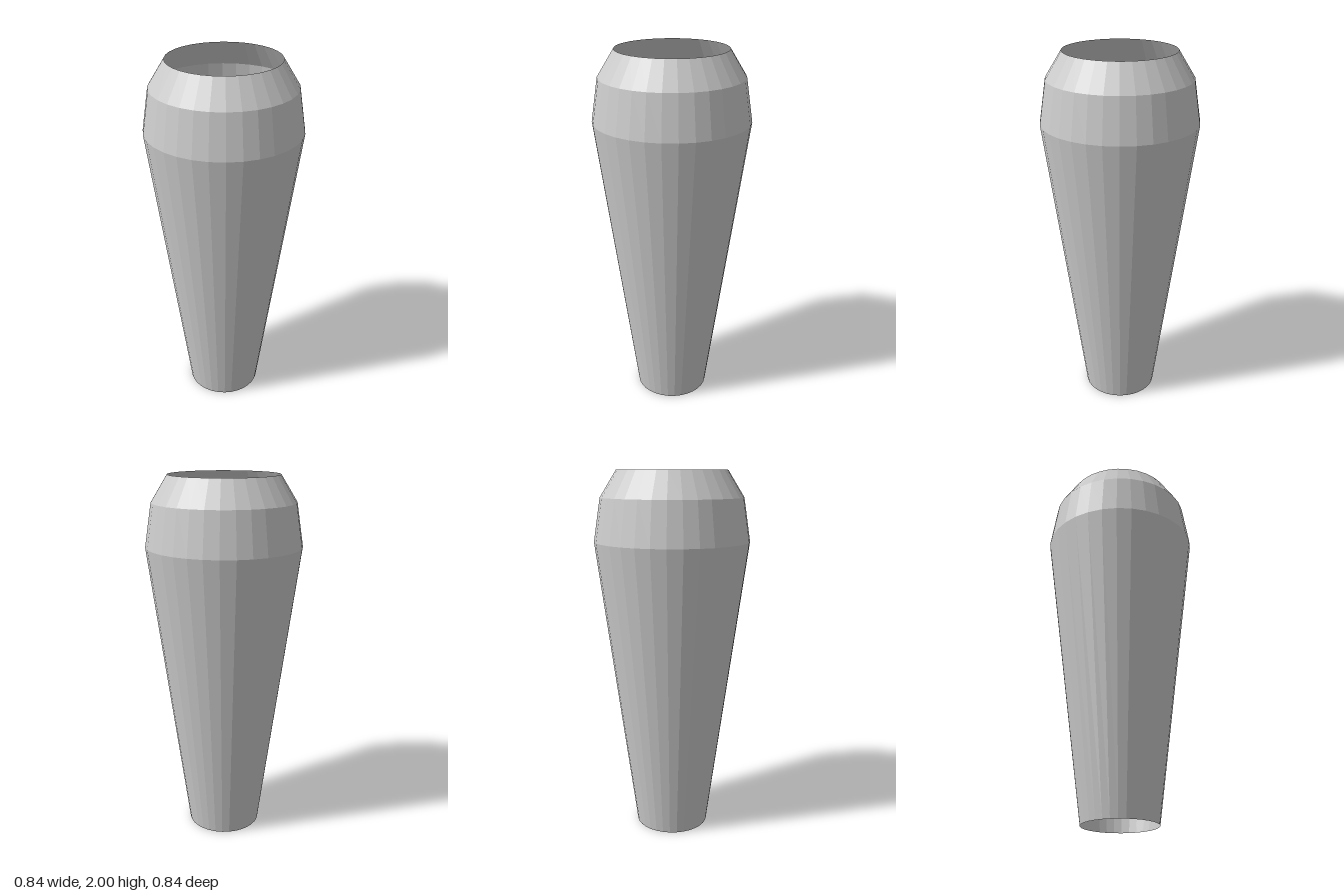
import * as THREE from 'three';

export function createModel() {
  const model = new THREE.Group();
  model.name = 'vase';

  // Thin open shell: tapered body, shoulder band, sloped neck; open at both ends
  const profile = [[0.202, 0], [0.418, 1.63], [0.382, 1.86], [0.295, 2]]
    .map(([r, y]) => new THREE.Vector2(r, y));

  const shell = new THREE.Mesh(
    new THREE.LatheGeometry(profile, 32),
    new THREE.MeshStandardMaterial({ color: 0xcccccc, flatShading: true, side: THREE.DoubleSide })
  );
  shell.name = 'shell';
  model.add(shell);
  return model;
}
